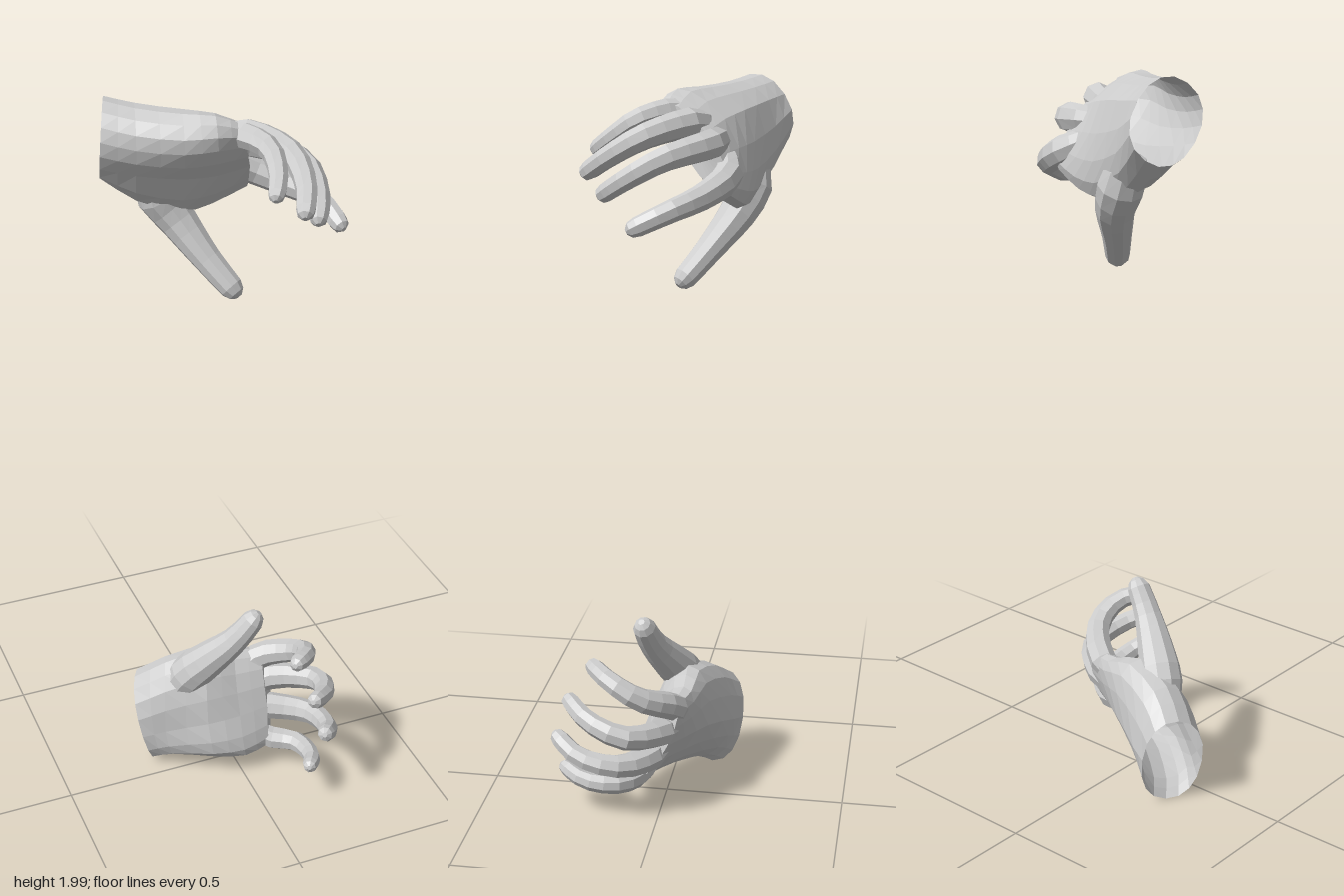
import * as THREE from 'three';

const V = (a) => new THREE.Vector3(...a);
const material = new THREE.MeshStandardMaterial({ color: 0xcccccc, flatShading: true, side: THREE.DoubleSide });

// Skin over a row of closed rings; the far end is closed with a fan
function loft(rings, name) {
  const n = rings[0].length, pos = [], idx = [];
  const centre = (r) => r.reduce((s, p) => s.add(p), new THREE.Vector3()).divideScalar(n);
  const c0 = centre(rings[0]), c1 = centre(rings[1]), end = centre(rings.at(-1));
  const turn = rings[0][0].clone().sub(c0).cross(rings[0][Math.round(n / 4)].clone().sub(c0));
  const flip = turn.dot(c1.sub(c0)) < 0;
  const tri = (a, b, c) => (flip ? idx.push(a, c, b) : idx.push(a, b, c));
  rings.forEach((r) => r.forEach((p) => pos.push(p.x, p.y, p.z)));
  const pole = rings.length * n;
  pos.push(end.x, end.y, end.z);
  for (let k = 0; k < n; k++) {
    const m = (k + 1) % n;
    for (let i = 0; i < rings.length - 1; i++) {
      const a = i * n + k, b = i * n + m;
      tri(a, b, b + n);
      tri(a, b + n, a + n);
    }
    tri(pole - n + k, pole - n + m, pole);
  }
  const g = new THREE.BufferGeometry();
  g.setAttribute('position', new THREE.Float32BufferAttribute(pos, 3));
  g.setIndex(idx);
  g.computeVertexNormals();
  const mesh = new THREE.Mesh(g, material);
  mesh.name = name;
  return mesh;
}

// Tapered limb with a rounded end, following joints [x, y, z] with a radius at each
function limb(name, joints, radii, sides = 8) {
  const curve = new THREE.CatmullRomCurve3(joints.map(V), false, 'centripetal');
  const steps = 40, frames = curve.computeFrenetFrames(steps), L = curve.getLength();
  const stations = [0, 4, 8, 12, 16, 20, 24, 28, 32, 35, 37, 39, 40];
  const rEnd = radii.at(-1);
  const at = [0];                              // arc position of every joint
  for (let j = 1; j < joints.length; j++) at.push(at[j - 1] + V(joints[j]).distanceTo(V(joints[j - 1])));
  const rings = stations.map((st) => {
    const u = st / steps, s = u * at.at(-1);
    let i = 0;
    while (i < joints.length - 2 && s > at[i + 1]) i++;
    let r = THREE.MathUtils.lerp(radii[i], radii[i + 1], (s - at[i]) / (at[i + 1] - at[i]));
    const over = Math.max(0, u * L - (L - rEnd)) / rEnd;
    r *= Math.max(0.3, Math.sqrt(Math.max(0, 1 - over * over)));
    const c = curve.getPointAt(u), N = frames.normals[st], B = frames.binormals[st];
    return Array.from({ length: sides }, (_, k) => {
      const a = (k / sides) * Math.PI * 2;
      return c.clone().addScaledVector(N, r * Math.cos(a)).addScaledVector(B, r * Math.sin(a));
    });
  });
  return loft(rings, name);
}

// Palm sections: centre, then reach to the little-finger edge, the back of the hand and the thumb edge
function palm(sections) {
  const tracks = [0, 1, 2, 3].map((j) => new THREE.CatmullRomCurve3(sections.map((s) => V(s[j]))));
  const soft = (t) => Math.abs(t) ** 0.9;
  const steps = 2 * (sections.length - 1), n = 16;
  const rings = [];
  for (let i = 0; i <= steps; i++) {
    const [c, little, back, thumb] = tracks.map((t) => t.getPoint(i / steps));
    rings.push(Array.from({ length: n }, (_, k) => {
      const a = (k / n) * Math.PI * 2, x = Math.cos(a), y = Math.sin(a);
      return c.clone().addScaledVector(x > 0 ? little : thumb, soft(x)).addScaledVector(back, Math.sign(y) * soft(y));
    }));
  }
  return loft(rings, 'palm');
}

function hand(name, d) {
  const g = new THREE.Group();
  g.name = name;
  g.add(palm(d.palm));
  const root = V(d.palm[2][0]);
  for (const [finger, joints] of Object.entries(d.fingers)) {
    const start = V(joints[0]).lerp(root, 0.45).toArray();
    const k = finger === 'littleFinger' ? 0.88 : 1;
    g.add(limb(finger, [start, ...joints], [0.03, 0.039, 0.033, 0.028, 0.024].map((r) => r * k)));
  }
  g.add(limb('thumb', d.thumb, [0.045, 0.06, 0.052, 0.038, 0.03], 10));
  return g;
}

export function createModel() {
  const model = new THREE.Group();
  model.name = 'pairOfHands';

  model.add(hand('upperHand', {
    palm: [
      [[-0.265, 1.895, -0.205], [-0.015, 0.085, 0.06], [0.03, 0.055, -0.07], [0.015, -0.085, -0.06]],
      [[-0.19, 1.88, -0.175], [-0.02, 0.085, 0.075], [0.02, 0.06, -0.065], [0.02, -0.145, -0.06]],
      [[-0.08, 1.865, -0.135], [-0.03, 0.095, 0.1], [0.015, 0.06, -0.055], [0.02, -0.175, -0.075]],
      [[0.0, 1.86, -0.105], [-0.04, 0.105, 0.11], [0.01, 0.05, -0.045], [0.02, -0.16, -0.095]],
      [[0.08, 1.855, -0.085], [-0.05, 0.09, 0.095], [0.008, 0.03, -0.028], [0.03, -0.12, -0.09]],
    ],
    fingers: {
      indexFinger: [[0.105, 1.78, -0.17], [0.19, 1.742, -0.12], [0.26, 1.712, -0.045], [0.283, 1.666, 0.055]],
      middleFinger: [[0.1, 1.86, -0.13], [0.2, 1.83, -0.02], [0.203, 1.78, 0.07], [0.17, 1.73, 0.145]],
      ringFinger: [[0.06, 1.905, -0.075], [0.142, 1.88, 0.03], [0.145, 1.83, 0.12], [0.11, 1.775, 0.198]],
      littleFinger: [[0.015, 1.927, -0.025], [0.072, 1.912, 0.06], [0.07, 1.87, 0.125], [0.038, 1.825, 0.185]],
    },
    thumb: [[-0.14, 1.8, -0.195], [-0.12, 1.725, -0.2], [-0.085, 1.67, -0.18], [-0.028, 1.575, -0.11], [0.035, 1.485, -0.035]],
  }));

  model.add(hand('lowerHand', {
    palm: [
      [[-0.225, 0.145, -0.115], [0.03, -0.135, 0.01], [0.04, 0.02, -0.08], [-0.03, 0.135, -0.01]],
      [[-0.17, 0.165, -0.09], [0.01, -0.125, 0.03], [0.035, 0.015, -0.085], [-0.005, 0.175, 0.01]],
      [[-0.06, 0.2, -0.03], [0.0, -0.14, 0.055], [0.035, 0.01, -0.085], [0.0, 0.175, -0.02]],
      [[0.03, 0.205, 0.003], [-0.01, -0.14, 0.068], [0.03, 0.005, -0.063], [0.0, 0.145, -0.055]],
      [[0.11, 0.21, 0.018], [-0.02, -0.125, 0.058], [0.022, 0.005, -0.04], [0.0, 0.13, -0.055]],
    ],
    fingers: {
      indexFinger: [[0.1, 0.32, -0.035], [0.182, 0.375, 0.05], [0.176, 0.42, 0.13], [0.11, 0.441, 0.198]],
      middleFinger: [[0.125, 0.255, -0.01], [0.23, 0.28, 0.08], [0.214, 0.313, 0.18], [0.14, 0.35, 0.26]],
      ringFinger: [[0.115, 0.175, 0.025], [0.205, 0.18, 0.1], [0.212, 0.205, 0.21], [0.165, 0.25, 0.29]],
      littleFinger: [[0.085, 0.1, 0.065], [0.155, 0.1, 0.12], [0.165, 0.11, 0.205], [0.125, 0.135, 0.28]],
    },
    thumb: [[-0.15, 0.25, -0.06], [-0.115, 0.325, -0.03], [-0.07, 0.382, 0.002], [-0.005, 0.46, 0.042], [0.058, 0.548, 0.062]],
  }));
  return model;
}
